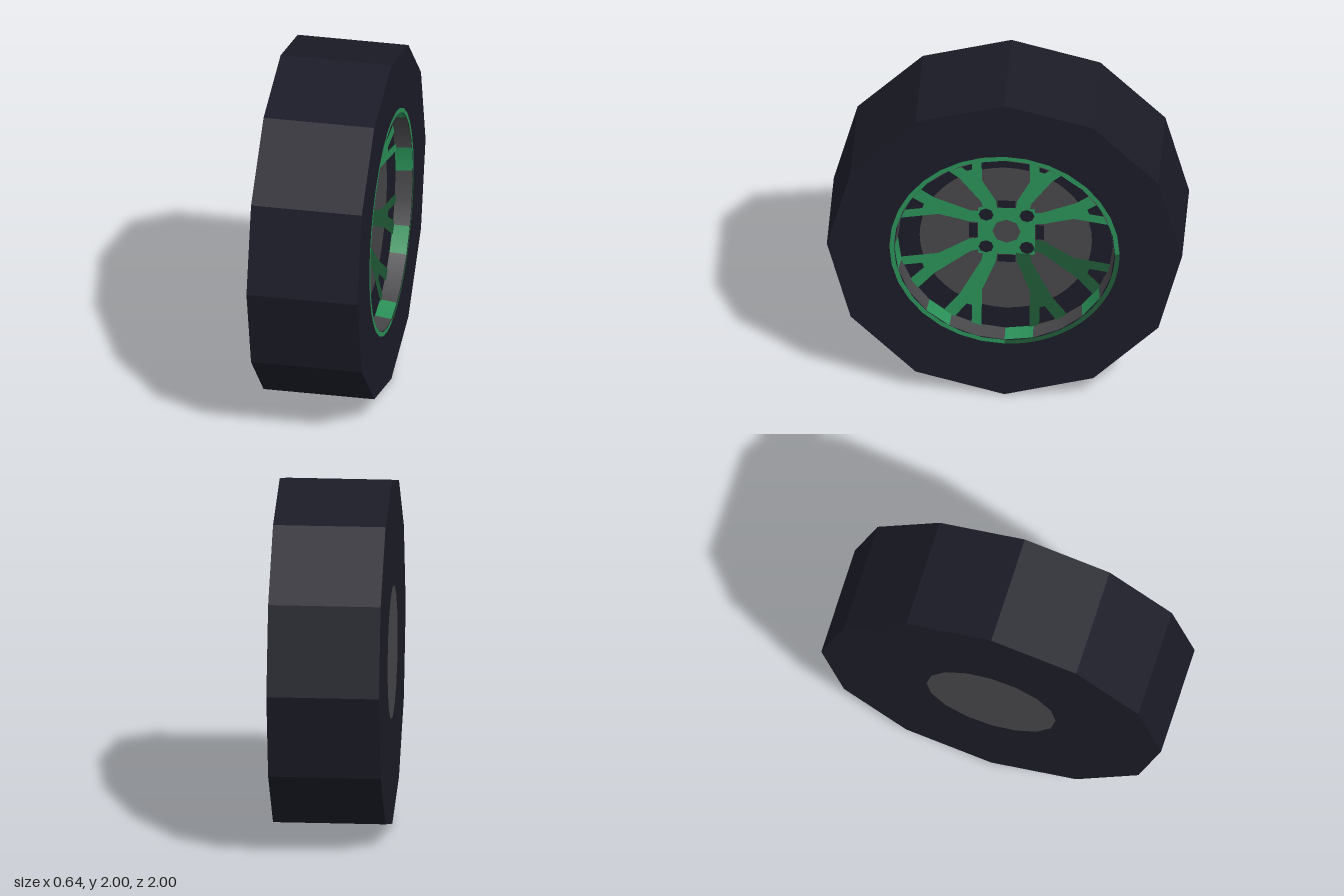
import * as THREE from 'three';

const material = (name, color) =>
  new THREE.MeshStandardMaterial({ name, color, side: THREE.DoubleSide });

export function createModel() {
  const rubber = material('dark rubber', 0x1b1b27);
  const green = material('green paint', 0x298e56);
  const darkGreen = material('dark green paint', 0x1f5937);
  const grey = material('grey metal', 0x464548);

  const HALF = 0.317; // half the tyre width
  const OPENING = 0.622; // rim opening radius
  const DISH = 0.606; // radius where the rim wall meets the dished face
  const dishZ = (r) => 0.125 + Math.max(0, r - 0.2) * 0.24; // flat hub, rising to the rim

  // Built facing +z around the origin, then turned to face +x
  const wheel = new THREE.Group();
  wheel.name = 'wheel';
  const add = (name, geometry, mat, z = 0) => {
    const mesh = new THREE.Mesh(geometry, mat);
    mesh.name = name;
    mesh.position.z = z;
    wheel.add(mesh);
    return mesh;
  };
  const polygon = (pts) => new THREE.Shape(pts.map(([x, y]) => new THREE.Vector2(x, y)));
  const ring = (r, n) => Array.from({ length: n }, (_, i) => {
    const a = (i / n) * Math.PI * 2;
    return [r * Math.cos(a), r * Math.sin(a)];
  });

  // Bends a flat face into the shallow dish, keeping its even forward normals
  const dished = (geometry) => {
    const p = geometry.attributes.position;
    for (let i = 0; i < p.count; i++) p.setZ(i, dishZ(Math.hypot(p.getX(i), p.getY(i))));
    return geometry;
  };
  const dishedShape = (pts) => dished(new THREE.ShapeGeometry(polygon(pts)));

  // Twelve-sided tyre with a round opening, closed at the back
  const tyre = polygon(ring(1, 12));
  tyre.holes.push(polygon(ring(OPENING, 32)));
  add('tyre', new THREE.ExtrudeGeometry(tyre, { depth: HALF * 2, bevelEnabled: false }), rubber, -HALF);
  add('tyreBack', new THREE.CircleGeometry(OPENING, 32).rotateY(Math.PI), rubber, -HALF);
  add('backCap', new THREE.CircleGeometry(0.38, 16).rotateY(Math.PI), grey, -HALF - 0.002);

  // Painted edge around the opening, darker in the lower quarter
  const edge = (start, sweep, mat) =>
    add('rimEdge', new THREE.RingGeometry(OPENING, 0.648, 24, 1, start, sweep), mat, HALF + 0.001);
  edge(0, Math.PI * 1.5, green);
  edge(Math.PI * 1.5, Math.PI / 2, darkGreen);

  // Tapered rim wall of green and grey patches
  const SEG = 24;
  const step = (Math.PI * 2) / SEG;
  const wallBase = dishZ(DISH);
  for (let i = 0; i < SEG; i++) {
    const patch = new THREE.CylinderGeometry(
      OPENING - 0.002, DISH, HALF - wallBase, 1, 1, true, i * step, step);
    add('rimWall', patch.rotateX(Math.PI / 2), i % 3 === 0 ? green : grey, (HALF + wallBase) / 2);
  }

  // Dished wheel face and the brake disc over it
  add('wheelFace', dished(new THREE.RingGeometry(0, DISH + 0.004, 48, 6)), rubber);
  add('brakeDisc', dished(new THREE.RingGeometry(0, 0.485, 48, 5)), grey, 0.003);

  // Eight forked spokes: one outline mirrored over the axes and the diagonals
  const spoke = [
    [0.05, 0.14], [0.06, 0.21], [0.135, 0.38], [0.135, 0.59], [0.19, 0.575], [0.19, 0.47],
    [0.22, 0.46], [0.285, 0.535], [0.35, 0.495], [0.26, 0.4], [0.14, 0.2], [0.13, 0.14],
  ];
  for (const sx of [1, -1]) {
    for (const sy of [1, -1]) {
      for (const swap of [false, true]) {
        // Reversed where mirroring would turn the face backwards
        const pts = spoke.map(([a, b]) => (swap ? [sx * b, sy * a] : [sx * a, sy * b]));
        add('spoke', dishedShape(pts), sx > 0 && sy < 0 ? darkGreen : green, 0.007);
      }
      // Bolt hole in each corner of the hub
      const bolt = add('boltHole', new THREE.CircleGeometry(0.042, 8), rubber);
      bolt.position.set(sx * 0.115, sy * 0.11, dishZ(0) + 0.011);
    }
  }

  // Dark slots beside the hub
  for (let i = 0; i < 4; i++) {
    const slot = new THREE.PlaneGeometry(0.1, 0.05);
    slot.translate(0, 0.187, 0).rotateZ((i * Math.PI) / 2);
    add('hubSlot', slot, rubber, dishZ(0.21) + 0.009);
  }

  // Hub plate and its centre cap
  add('hub', new THREE.PlaneGeometry(0.32, 0.32), green, dishZ(0) + 0.009);
  add('centreCap', new THREE.CircleGeometry(0.08, 8), grey, dishZ(0) + 0.011);

  wheel.rotation.y = Math.PI / 2;
  wheel.position.y = 1;
  const model = new THREE.Group();
  model.name = 'roadWheel';
  model.add(wheel);
  return model;
}
